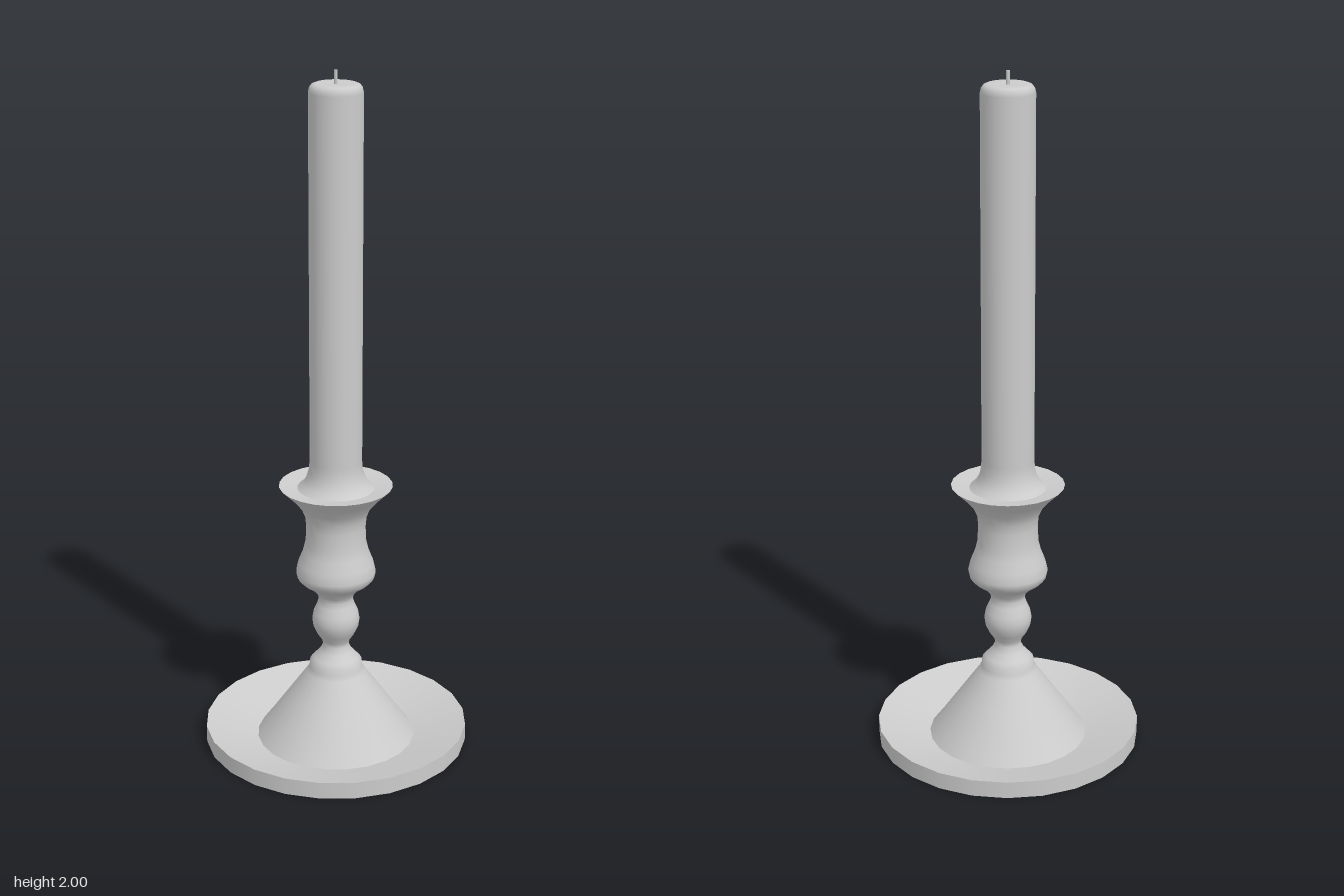
import * as THREE from 'three';

const SIDES = 24;

export function createModel() {
  const model = new THREE.Group();
  const material = new THREE.MeshStandardMaterial({ color: 0xcccccc });

  // Profiles run from the bottom up as [radius, height]; the outside is on their right.
  const turn = (name, profile, sides = SIDES) => {
    const points = profile.map(([r, y]) => new THREE.Vector2(r, y));
    const mesh = new THREE.Mesh(new THREE.LatheGeometry(points, sides), material);
    mesh.name = name;
    model.add(mesh);
  };

  // Dished base plate, one lathe per face so its edges stay sharp
  turn('baseUnderside', [[0, 0], [0.39, 0]]);
  turn('baseEdge', [[0.39, 0], [0.39, 0.05]]);
  turn('baseDish', [[0.39, 0.05], [0.235, 0.005]]);

  // Turned stem: cone, collar, bead and socket cup
  turn('stem', [
    [0.235, 0.005], [0.2, 0.052], [0.14, 0.137], [0.087, 0.212], [0.079, 0.228],
    [0.077, 0.246], [0.066, 0.258], [0.048, 0.278], [0.038, 0.298], [0.041, 0.314],
    [0.056, 0.336], [0.067, 0.36], [0.07, 0.382], [0.066, 0.405], [0.055, 0.43],
    [0.05, 0.447], [0.054, 0.463], [0.073, 0.485], [0.1, 0.503], [0.113, 0.517],
    [0.117, 0.535], [0.11, 0.565], [0.097, 0.597], [0.089, 0.63], [0.087, 0.68],
    [0.09, 0.71], [0.102, 0.738], [0.128, 0.769], [0.165, 0.805],
  ]);
  turn('socketRim', [[0.165, 0.805], [0.112, 0.797]]);

  // Candle with a flared foot and rounded shoulder
  turn('candle', [
    [0.112, 0.797], [0.097, 0.81], [0.086, 0.828], [0.079, 0.85], [0.076, 0.88],
    [0.076, 1.94], [0.073, 1.953], [0.067, 1.961], [0.057, 1.965], [0.03, 1.963], [0, 1.962],
  ]);

  // Wick
  const wick = new THREE.Mesh(new THREE.CylinderGeometry(0.005, 0.005, 0.05, 8), material);
  wick.name = 'wick';
  wick.position.y = 1.975;
  model.add(wick);

  return model;
}
